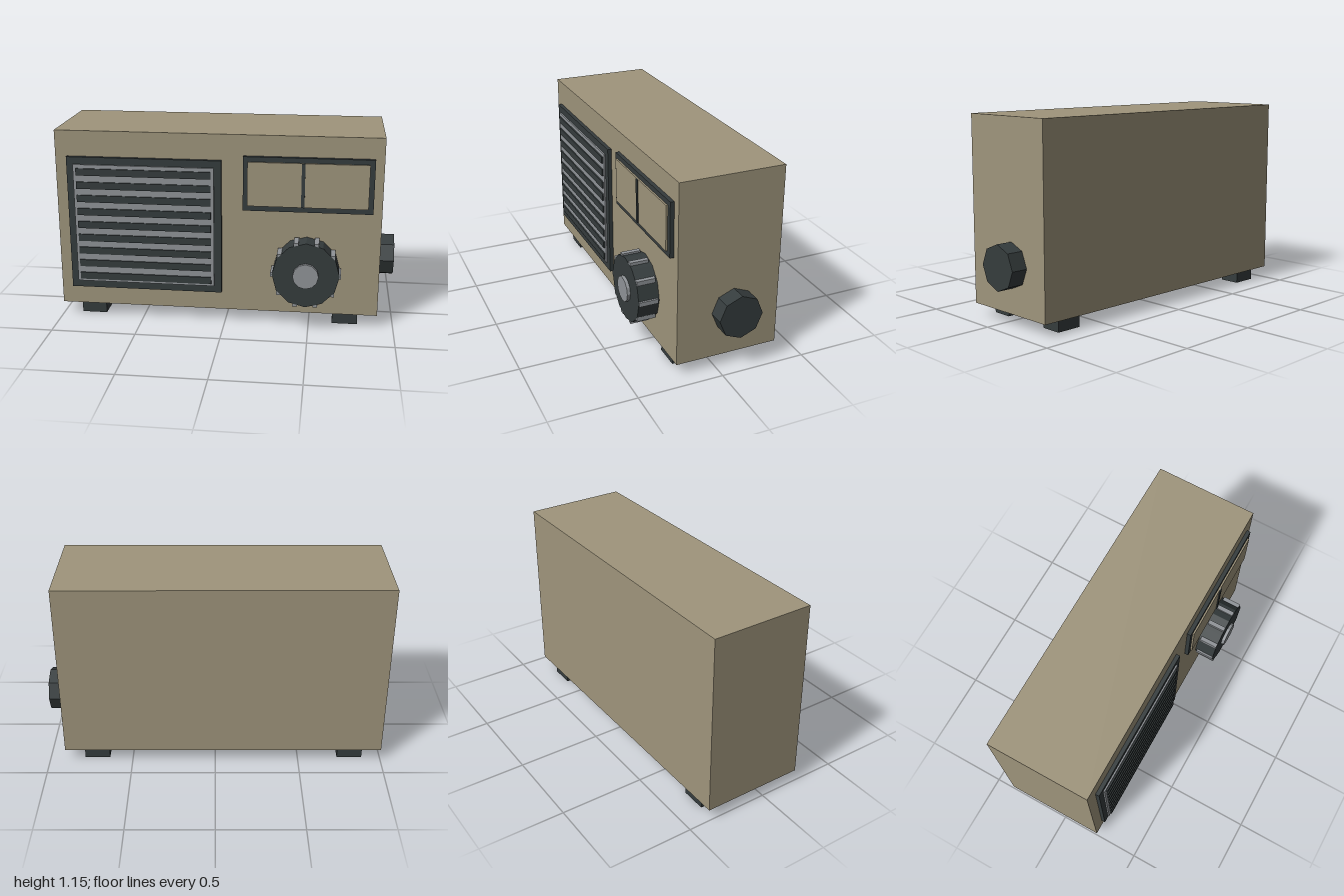
import * as THREE from 'three';

const mat = (name, color) => {
  const m = new THREE.MeshStandardMaterial({ color, flatShading: true });
  m.name = name;
  return m;
};

export function createModel() {
  const radio = new THREE.Group();
  radio.name = 'radio';
  const tan = mat('tan', 0x9f957c);
  const dark = mat('charcoal', 0x353c3d);
  const grey = mat('grey', 0x909498);

  const add = (name, geometry, material, x, y, z) => {
    const mesh = new THREE.Mesh(geometry, material);
    mesh.name = name;
    mesh.position.set(x, y, z);
    radio.add(mesh);
    return mesh;
  };
  // Box given by its limits on each axis
  const box = (name, material, [x0, x1], [y0, y1], [z0, z1]) =>
    add(name, new THREE.BoxGeometry(x1 - x0, y1 - y0, z1 - z0), material,
      (x0 + x1) / 2, (y0 + y1) / 2, (z0 + z1) / 2);

  // Case and feet
  const front = 0.235;
  box('case', tan, [-1, 0.905], [0.073, 1.147], [-0.375, front]);
  for (const x of [-0.815, 0.715])
    for (const z of [0.145, -0.285])
      box('foot', dark, [x - 0.075, x + 0.075], [0, 0.073], [z - 0.061, z + 0.061]);

  // Speaker grille
  box('speakerFrame', dark, [-0.93, -0.02], [0.187, 0.995], [front, 0.258]);
  box('speakerPanel', grey, [-0.89, -0.063], [0.23, 0.952], [0.25, 0.267]);
  for (let i = 0; i < 9; i++) {
    const y = 0.265 + i * 0.0805;
    box('speakerSlat', dark, [-0.873, -0.08], [y - 0.021, y + 0.021], [0.26, 0.275]);
  }

  // Tuning window
  box('windowFrame', dark, [0.105, 0.853], [0.705, 1.025], [front, 0.258]);
  box('windowPanel', tan, [0.131, 0.824], [0.736, 0.996], [0.25, 0.268]);
  box('windowDivider', dark, [0.441, 0.461], [0.736, 0.996], [0.26, 0.274]);

  // Tuning dial with grip ribs and a cap
  const cx = 0.48, cy = 0.355;
  add('dial', new THREE.CylinderGeometry(0.195, 0.195, 0.122, 12), dark, cx, cy, 0.296)
    .rotation.x = Math.PI / 2;
  add('dialCap', new THREE.CylinderGeometry(0.075, 0.075, 0.025, 12), grey, cx, cy, 0.3635)
    .rotation.x = Math.PI / 2;
  for (let i = 0; i < 10; i++) {
    const a = (i / 10) * Math.PI * 2;
    add('dialRib', new THREE.BoxGeometry(0.027, 0.027, 0.111), grey,
      cx + Math.cos(a) * 0.19, cy + Math.sin(a) * 0.19, 0.301);
  }

  // Side knob
  add('sideKnob', new THREE.CylinderGeometry(0.129, 0.129, 0.1, 8), dark, 0.95, 0.346, -0.1)
    .rotation.z = Math.PI / 2;

  return radio;
}
